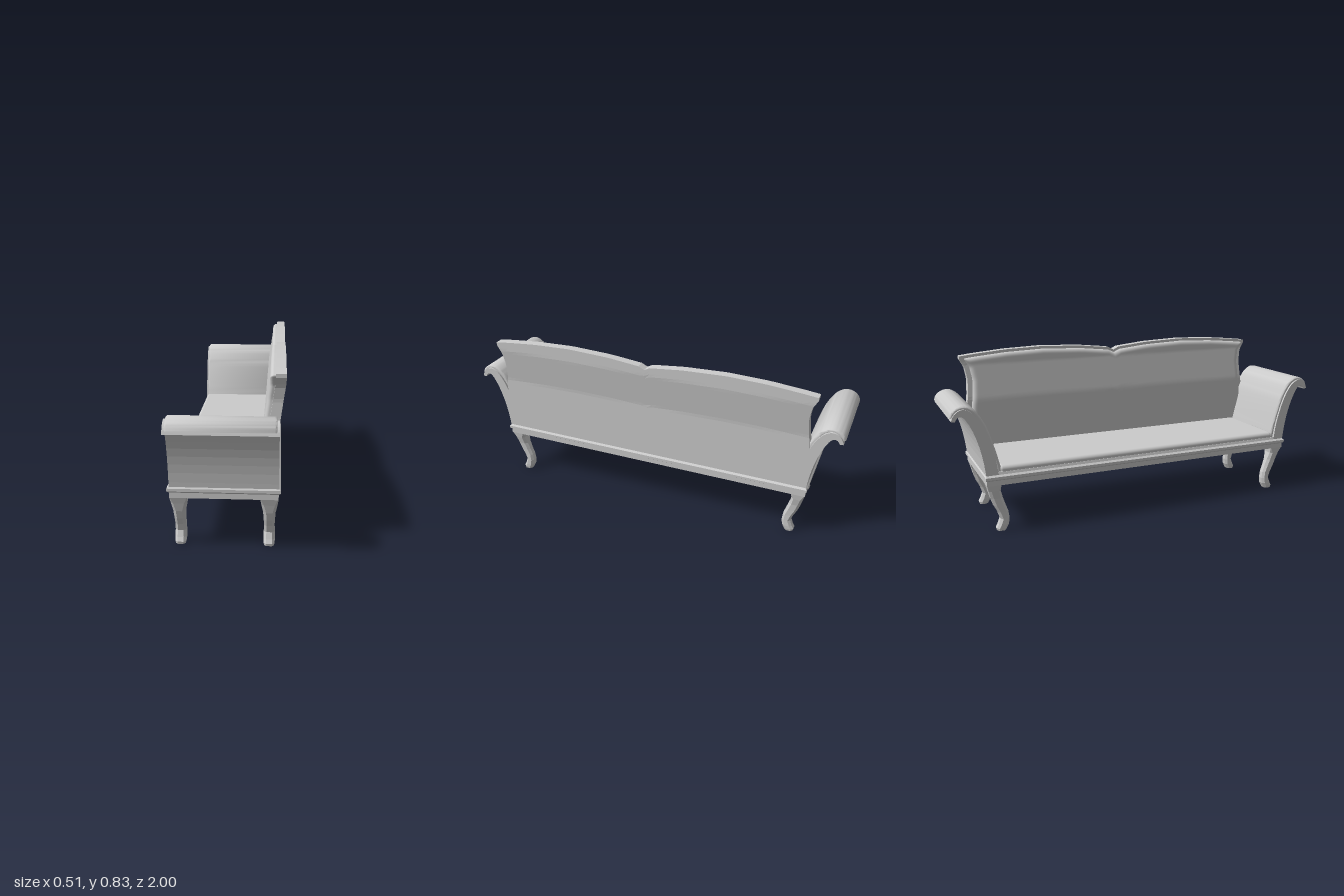
import * as THREE from 'three';
import { mergeVertices, toCreasedNormals } from 'three/addons/utils/BufferGeometryUtils.js';
import { RoundedBoxGeometry } from 'three/addons/geometries/RoundedBoxGeometry.js';

const wood = new THREE.MeshStandardMaterial({ color: 0xcccccc, flatShading: true, side: THREE.DoubleSide });
const fabric = new THREE.MeshStandardMaterial({ color: 0xcccccc, side: THREE.DoubleSide });

function add(parent, name, geometry, material) {
  const mesh = new THREE.Mesh(geometry, material);
  mesh.name = name;
  parent.add(mesh);
  return mesh;
}

// Piecewise linear lookup in a list of [position, value]
function lookup(table, t) {
  if (t <= table[0][0]) return table[0][1];
  for (let i = 1; i < table.length; i++) {
    const [a, va] = table[i - 1], [b, vb] = table[i];
    if (t <= b) return va + (vb - va) * (t - a) / (b - a);
  }
  return table[table.length - 1][1];
}

// Horizontal rectangle with chamfered corners
function ring(y, cx, cz, hx, hz, c = 0) {
  const a = hx - c, b = hz - c;
  return [[hx, -b], [hx, b], [a, hz], [-a, hz], [-hx, b], [-hx, -b], [-a, -hz], [a, -hz]]
    .map(([x, z]) => [cx + x, y, cz + z]);
}

// Skin over rings listed from bottom to top, with end caps
function loft(rings) {
  const n = rings[0].length, index = [], last = (rings.length - 1) * n;
  for (let i = 0; i < rings.length - 1; i++) {
    for (let j = 0; j < n; j++) {
      const a = i * n + j, b = i * n + (j + 1) % n;
      index.push(a, b + n, b, a, a + n, b + n);
    }
  }
  for (let j = 1; j < n - 1; j++) {
    index.push(0, j, j + 1, last, last + j + 1, last + j);
  }
  const g = new THREE.BufferGeometry();
  g.setAttribute('position', new THREE.Float32BufferAttribute(rings.flat(2), 3));
  g.setIndex(index);
  g.computeVertexNormals();
  return g;
}

// Backrest outline: height along z, half width along y, lean of the rear face
const backTop = [[0, 0.79], [0.03, 0.805], [0.2, 0.823], [0.42, 0.832], [0.62, 0.825], [0.78, 0.811], [0.86, 0.802]];
const backHalf = [[0.29, 0.845], [0.45, 0.845], [0.54, 0.838], [0.6, 0.83], [0.68, 0.825], [0.745, 0.836], [0.785, 0.86], [0.8, 0.86]];
const backLean = [[0.58, 0.23], [0.76, 0.255]];

function backFrame() {
  const g = new THREE.BoxGeometry(1, 1, 1, 1, 32, 56), p = g.attributes.position;
  for (let i = 0; i < p.count; i++) {
    const u = p.getZ(i) * 2, v = p.getY(i) + 0.5;
    const y = 0.28 + v * (lookup(backTop, Math.abs(u) * 0.86) - 0.28);
    const x = lookup(backLean, y) - (p.getX(i) < 0 ? 0.045 : 0);
    p.setXYZ(i, x, y, u * lookup(backHalf, y));
  }
  g.computeVertexNormals();
  return g;
}

// Upholstered panel: same outline drawn inwards, front edge rounded over
function backPad() {
  let g = new THREE.BoxGeometry(1, 1, 1, 1, 40, 72);
  const p = g.attributes.position, radius = 0.022;
  for (let i = 0; i < p.count; i++) {
    const u = Math.sin(p.getZ(i) * Math.PI), v = Math.sin((p.getY(i) + 0.5) * Math.PI / 2);
    const top = lookup(backTop, Math.abs(u) * 0.84) - 0.014;
    const y = 0.3 + v * (top - 0.3);
    const half = lookup(backHalf, y) - 0.024;
    const d = Math.min(1, Math.max(0, Math.min(top - y, half * (1 - Math.abs(u)))) / radius);
    const front = lookup(backLean, y) - 0.045;
    const bulge = 0.008 + 0.017 * Math.sqrt(1 - (1 - d) ** 2);
    p.setXYZ(i, p.getX(i) < 0 ? front - bulge : front + 0.01, y, u * half);
  }
  g.deleteAttribute('uv');
  g.deleteAttribute('normal');
  g = mergeVertices(g, 1e-5);
  g.computeVertexNormals();
  return g;
}

// Scrolled arm sections as [z, y]
const frameInner = [[0.785, 0.28], [0.8, 0.38], [0.825, 0.47], [0.85, 0.535], [0.882, 0.588], [0.912, 0.615], [0.94, 0.624], [0.965, 0.615], [0.985, 0.595], [0.994, 0.572]];
const frameOuter = [[0.976, 0.57], [0.964, 0.588], [0.945, 0.59], [0.925, 0.57], [0.897, 0.515], [0.872, 0.44], [0.855, 0.36], [0.845, 0.28]];
const padInner = [[0.765, 0.3], [0.785, 0.38], [0.81, 0.47], [0.835, 0.54], [0.87, 0.6], [0.905, 0.63], [0.935, 0.638], [0.965, 0.631], [0.99, 0.611], [1, 0.587]];
const padUnder = [[0.98, 0.584], [0.969, 0.599], [0.953, 0.61], [0.935, 0.614], [0.912, 0.604], [0.885, 0.573], [0.857, 0.523], [0.832, 0.46], [0.806, 0.38], [0.789, 0.3]];

const smooth = (pts, n) => new THREE.SplineCurve(pts.map(q => new THREE.Vector2(...q))).getPoints(n);

// Extrude a z-y section along x, from xMax backwards; side = 1 or -1
function armExtrude(points, side, xMax, width, bevel) {
  const shape = new THREE.Shape(points.map(q => new THREE.Vector2(q.x * side, q.y)));
  const g = new THREE.ExtrudeGeometry(shape, {
    depth: width - 2 * bevel, bevelEnabled: bevel > 0, bevelThickness: bevel,
    bevelSize: bevel, bevelOffset: -bevel, bevelSegments: 4,
  });
  g.rotateY(-Math.PI / 2);
  g.translate(xMax - bevel, 0, 0);
  return g;
}

// Cabriole leg: [y, half width in x, inner z, outer z, chamfer]
const legRows = [
  [0, 0.022, 0.757, 0.8, 0.01], [0.012, 0.025, 0.751, 0.803, 0.012], [0.03, 0.026, 0.742, 0.793, 0.012],
  [0.06, 0.025, 0.738, 0.782, 0.012], [0.095, 0.024, 0.742, 0.794, 0.012], [0.13, 0.025, 0.754, 0.812, 0.013],
  [0.17, 0.028, 0.767, 0.826, 0.014], [0.21, 0.036, 0.778, 0.836, 0.012], [0.242, 0.04, 0.775, 0.845, 0.002],
];

export function createModel() {
  const sofa = new THREE.Group();
  sofa.name = 'sofa';

  // Seat rail with a bead moulding around it
  const railRows = [[0.24, 0], [0.265, 0], [0.272, 0.01], [0.285, 0.01], [0.293, 0], [0.305, -0.004]];
  add(sofa, 'seatRail', loft(railRows.map(([y, e]) => ring(y, -0.01, 0, 0.24 + e, 0.845 + e * 0.7))), wood);

  // Seat cushion
  const seat = add(sofa, 'seatCushion', new RoundedBoxGeometry(0.425, 0.055, 1.56, 4, 0.018), fabric);
  seat.position.set(-0.032, 0.305, 0);

  // Backrest
  add(sofa, 'backFrame', backFrame(), wood);
  add(sofa, 'backPad', backPad(), fabric);

  for (const side of [1, -1]) {
    const label = side > 0 ? 'left' : 'right';

    // Scrolled arm and its upholstery
    const section = [...smooth(frameInner, 24), ...smooth(frameOuter, 14)];
    add(sofa, label + 'ArmFrame', armExtrude(section, side, 0.23, 0.48, 0), wood);
    const padSection = [...smooth(padInner, 36), ...smooth(padUnder, 30)];
    const pad = armExtrude(padSection, side, 0.22, 0.46, 0.009);
    add(sofa, label + 'ArmPad', toCreasedNormals(pad, 0.8), fabric);

    // Front and rear legs
    for (const [end, x] of [['Front', -0.21], ['Rear', 0.19]]) {
      const rings = legRows.map(([y, hx, z0, z1, c]) => ring(y, x, side * (z0 + z1) / 2, hx, (z1 - z0) / 2, c));
      add(sofa, label + end + 'Leg', loft(rings), wood);
    }
  }
  return sofa;
}
